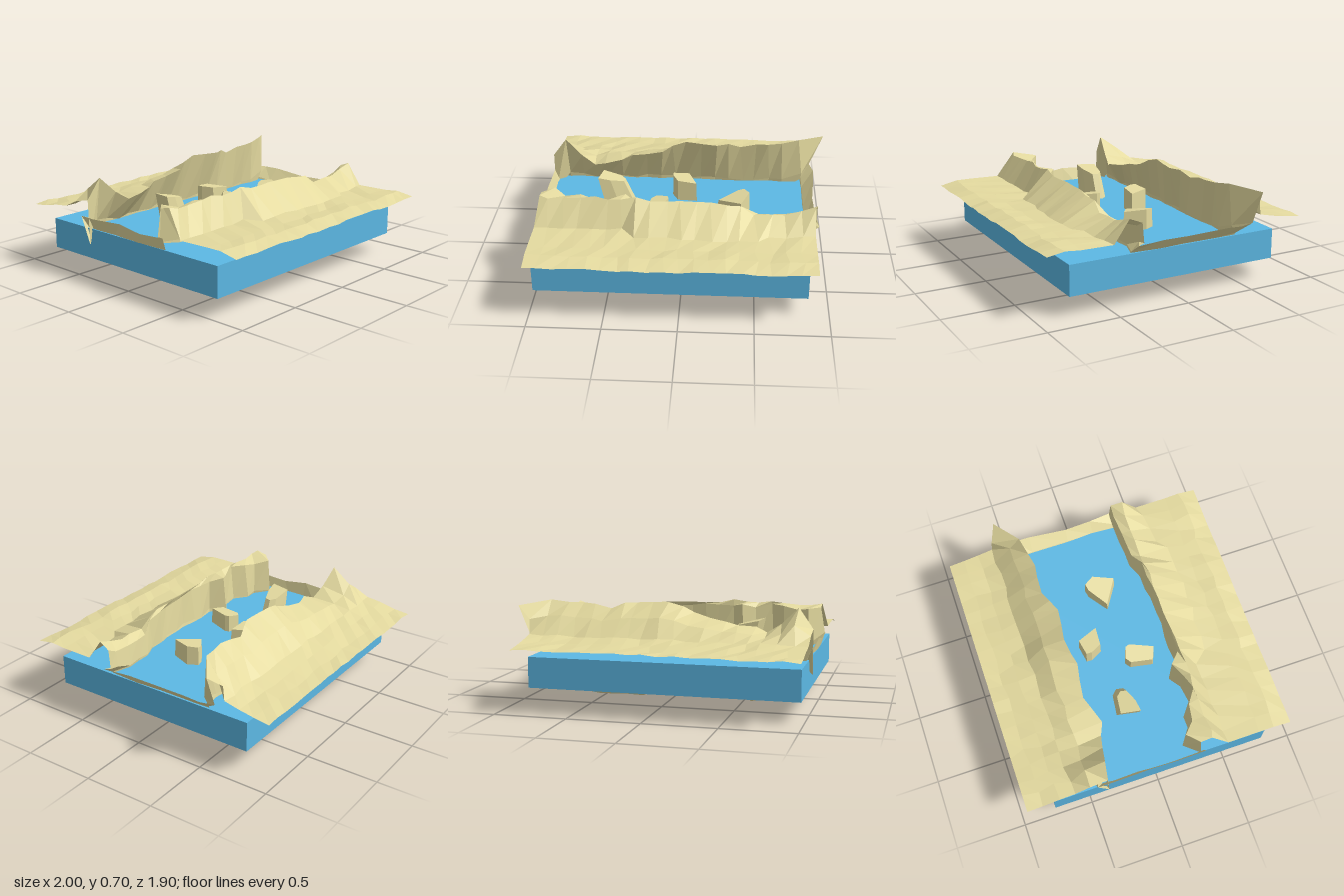
import * as THREE from 'three';

// Piecewise-linear curve through [x, value] pairs
const curve = (...pts) => x => {
  if (x <= pts[0][0]) return pts[0][1];
  for (let i = 1; i < pts.length; i++) {
    const [a, va] = pts[i - 1], [b, vb] = pts[i];
    if (x <= b) return va + (vb - va) * (x - a) / (b - a);
  }
  return pts[pts.length - 1][1];
};

// Repeatable jitter from -1 to 1
const jitter = (i, j) => {
  const s = Math.sin(i * 12.99 + j * 78.23) * 43758.5453;
  return (s - Math.floor(s)) * 2 - 1;
};

// Lines that run along the river
const backHeight = curve([-1, 0.55], [-0.9, 0.68], [-0.8, 0.57], [-0.7, 0.51], [-0.6, 0.54], [-0.4, 0.57], [-0.2, 0.62],
  [-0.1, 0.67], [0, 0.69], [0.2, 0.68], [0.3, 0.69], [0.4, 0.65], [0.6, 0.68], [0.8, 0.69], [0.9, 0.66]);
const backCrest = curve([-1, -0.39], [-0.8, -0.35], [-0.6, -0.28], [-0.4, -0.36], [-0.2, -0.33], [0, -0.35],
  [0.2, -0.33], [0.3, -0.36], [0.4, -0.385], [0.6, -0.38], [0.8, -0.43], [0.9, -0.55]);
const frontHeight = curve([-1, 0.63], [-0.8, 0.62], [-0.6, 0.635], [-0.5, 0.625], [-0.3, 0.635],
  [-0.2, 0.62], [0.3, 0.6], [0.4, 0.59], [0.5, 0.53], [0.7, 0.53], [0.8, 0.56], [0.9, 0.6]);
const frontBank = curve([-1, 0.28], [-0.9, 0.2], [-0.8, 0.28], [-0.7, 0.29], [-0.6, 0.35], [-0.5, 0.34], [-0.4, 0.28],
  [-0.3, 0.36], [0.2, 0.375], [0.3, 0.34], [0.4, 0.35], [0.5, 0.3], [0.9, 0.28]);
const frontFoot = curve([-1, 0.49], [-0.4, 0.48], [-0.3, 0.57], [0, 0.6], [0.5, 0.61], [0.6, 0.53], [0.9, 0.5]);
const endRise = curve([-1, 1], [-0.9, 0.15], [-0.8, 0.08], [-0.7, 0.03], [0.6, 0.02], [0.7, 0.18], [0.8, 0.78], [0.9, 1]);
const mound = curve([-0.5, 0.07], [-0.4, 0.11], [-0.3, 0.17], [-0.2, 0.17], [-0.1, 0.13], [0, 0.17],
  [0.1, 0.17], [0.2, 0.08], [0.3, 0.06]);
const bedHeight = curve([-0.8, 0.05], [-0.6, 0.02], [-0.4, 0.05], [-0.2, 0.03], [0, 0.05], [0.2, 0.01], [0.4, 0.02], [0.6, 0.02]);

// Cross-section of the valley at x, from back edge to front edge, as [z, y]
function section(x) {
  const hb = backHeight(x), cb = backCrest(x), hf = frontHeight(x), bank = frontBank(x), e = endRise(x);
  const bed = y => y + (0.43 - y) * e;
  const low = bedHeight(x);
  return [
    [-0.95, 0.425], [-0.84, 0.435], [-0.73, 0.45], [-0.62, 0.475],
    [Math.min(-0.5, cb - 0.05), 0.475 + (hb - 0.475) * 0.58], [cb, hb],
    x < -0.95 ? [-0.36, 0.23] : [Math.min(-0.43, cb), bed(0.36)],
    [-0.45, bed(0.14)], [-0.34, bed(low + 0.02)], [-0.06, bed(mound(x))], [0.13, bed(low)],
    [0.33, bed(0.07)], [bank, bed(0.36)],
    [bank + 0.01, hf - 0.025], [0.375, hf],
    [frontFoot(x), 0.45], [0.72, 0.45], [0.83, 0.455], [0.95, 0.43]
  ];
}

// Banks, cliffs and riverbed in one faceted sheet
function makeTerrain() {
  const cols = 20, rows = 19;
  const geo = new THREE.PlaneGeometry(1.9, 1.9, cols - 1, rows - 1);
  const pos = geo.attributes.position;
  for (let i = 0; i < cols; i++) {
    const x = -1 + i * 0.1;
    section(x).forEach(([z, y], j) => {
      const edge = i === 0 || i === cols - 1, rim = j === 0 || j === rows - 1;
      const pool = j > 5 && j < 14;
      let px = x + (edge ? 0 : 0.018 * jitter(i, j));
      // The right-hand end bulges out past the sheet, the left-hand ridge leans in
      if (i === cols - 1) px = j === 5 ? 1 : pool ? 0.92 + 0.02 * jitter(j, 3) : x;
      if (i === cols - 2 && pool) px = 0.845;
      if (i === 0 && (j === 13 || j === 14)) px = -0.97;
      const pz = rim ? z : z + 0.012 * jitter(j, i + 5);
      const lift = pool ? 0.015 : 0.008;
      pos.setXYZ(j * cols + i, px, Math.max(0, y + lift * jitter(i + 9, j + 2)), pz);
    });
  }
  pos.setXYZ(10 * cols + 12, 0.2, 0, 0.12);
  geo.computeVertexNormals();
  return geo;
}

// Rock: a footprint rising to a shifted, sloping top
function makeRock(outline, base, top, scale, dx, slope) {
  const n = outline.length, verts = [], index = [];
  const cx = outline.reduce((s, p) => s + p[0], 0) / n;
  const cz = outline.reduce((s, p) => s + p[1], 0) / n;
  for (const [x, z] of outline) verts.push(x, base, z);
  for (const [x, z] of outline) {
    verts.push(cx + (x - cx) * scale + dx, top + (x - cx) * slope, cz + (z - cz) * scale);
  }
  for (let i = 0; i < n; i++) {
    const k = (i + 1) % n;
    index.push(i, k, n + k, i, n + k, n + i);
    if (i > 0 && i < n - 1) index.push(n, n + i, n + i + 1, 0, i + 1, i);
  }
  const geo = new THREE.BufferGeometry();
  geo.setAttribute('position', new THREE.Float32BufferAttribute(verts, 3));
  geo.setIndex(index);
  geo.computeVertexNormals();
  return geo;
}

export function createModel() {
  const model = new THREE.Group();
  model.name = 'riverValley';
  const sand = new THREE.MeshStandardMaterial({ color: 0xe4da9f, flatShading: true, side: THREE.DoubleSide });
  const blue = new THREE.MeshStandardMaterial({ color: 0x5cb8e4 });
  const add = (name, geo, mat) => {
    const mesh = new THREE.Mesh(geo, mat);
    mesh.name = name;
    model.add(mesh);
    return mesh;
  };

  add('terrain', makeTerrain(), sand);

  // Block of water filling the valley
  add('water', new THREE.BoxGeometry(1.835, 0.21, 1.54), blue).position.set(-0.0625, 0.243, 0.01);

  // Rocks standing in the river: outline, base, top, top scale, top shift in x, top slope
  const rocks = [
    [[[-0.56, 0], [-0.46, -0.01], [-0.35, -0.05], [-0.34, -0.1], [-0.38, -0.14], [-0.53, -0.16]], 0.3, 0.54, 0.85, -0.08, -0.2],
    [[[-0.06, -0.11], [0.08, -0.1], [0.02, -0.25], [-0.1, -0.23], [-0.1, -0.19]], 0.3, 0.5, 0.95, 0, -0.1],
    [[[0.23, 0.04], [0.4, 0.15], [0.46, 0], [0.42, -0.07], [0.37, -0.06]], 0.31, 0.47, 0.95, 0, 0.2],
    [[[-0.27, 0.21], [-0.18, 0.25], [-0.11, 0.08], [-0.12, 0.05], [-0.2, 0.02], [-0.24, 0.05]], 0.3, 0.46, 0.95, 0, 0.15]
  ];
  rocks.forEach((r, i) => add('rock' + (i + 1), makeRock(...r), sand));

  return model;
}
